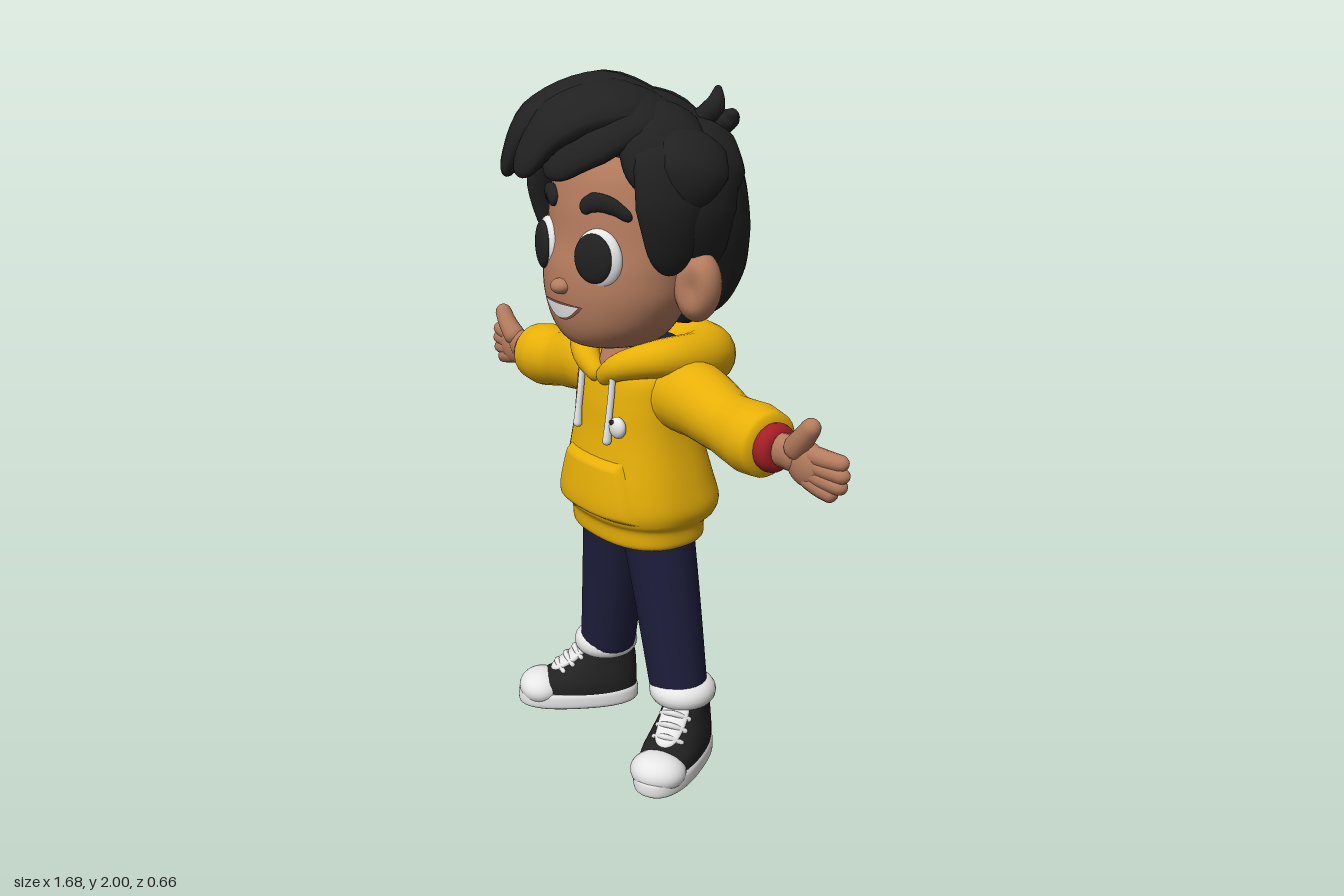
import * as THREE from 'three';

const V = (x, y, z) => new THREE.Vector3(x, y, z);
const mat = (name, color) => Object.assign(new THREE.MeshStandardMaterial({ color }), { name });

// Skin over a list of rings (closed, capped) or rows (open patch)
function skin(rings, closed = true) {
  const n = rings[0].length, pts = rings.flat(), index = [];
  for (let i = 0; i < rings.length - 1; i++) {
    for (let j = 0; j < (closed ? n : n - 1); j++) {
      const k = (j + 1) % n, a = i * n + j, b = i * n + k, c = b + n, d = a + n;
      index.push(a, b, d, b, c, d);
    }
  }
  if (closed) {
    const mid = (r) => r.reduce((s, p) => s.add(p), V(0, 0, 0)).divideScalar(n);
    const first = pts.length, end = (rings.length - 1) * n;
    pts.push(mid(rings[0]), mid(rings[rings.length - 1]));
    for (let j = 0; j < n; j++) {
      const k = (j + 1) % n;
      index.push(first, k, j, first + 1, end + j, end + k);
    }
  }
  const g = new THREE.BufferGeometry().setFromPoints(pts);
  g.setIndex(index);
  g.computeVertexNormals();
  return g;
}

// Rounded tube through points, with a radius at each point
function sweep(points, radii, { flat = 1, round = 1, out = () => V(0, 0, 1), n = 16, steps = 28 } = {}) {
  const curve = new THREE.CatmullRomCurve3(points.map((p) => V(...p)));
  const len = curve.getLength(), rings = [];
  for (let i = 0; i <= steps; i++) {
    const t = (1 - Math.cos((Math.PI * i) / steps)) / 2;
    const f = t * (radii.length - 1), k = Math.min(Math.floor(f), radii.length - 2);
    let r = THREE.MathUtils.lerp(radii[k], radii[k + 1], f - k);
    const cap = Math.min(r, round), d = Math.min(t, 1 - t) * len;
    if (d < cap) r *= Math.sqrt(Math.max(1 - (1 - d / cap) ** 2, 0.0004));
    const p = curve.getPoint(t), T = curve.getTangent(t);
    const side = out(p).cross(T).normalize(), up = T.clone().cross(side);
    rings.push(Array.from({ length: n }, (_, j) => {
      const a = (j / n) * Math.PI * 2;
      return p.clone().addScaledVector(side, r * Math.cos(a)).addScaledVector(up, r * flat * Math.sin(a));
    }));
  }
  return skin(rings);
}

// Rows of [y, half width, front z, back z], smoothed by a spline
function smoothRows(rows, k = 6) {
  const res = [], at = (i) => rows[Math.max(0, Math.min(rows.length - 1, i))];
  for (let i = 0; i < rows.length - 1; i++) {
    for (let s = 0; s < k; s++) {
      const t = s / k;
      res.push(rows[i].map((b, c) => {
        const a = at(i - 1)[c], d = at(i + 1)[c], e = at(i + 2)[c];
        return b + 0.5 * t * (d - a + t * (2 * a - 5 * b + 4 * d - e + t * (3 * (b - d) + e - a)));
      }));
    }
  }
  return [...res, rows[rows.length - 1]];
}
function loft(rows, e = 2, ripple = () => 1, n = 48) {
  const pw = (v) => Math.sign(v) * Math.abs(v) ** (2 / e);
  return skin(rows.map(([y, rx, zf, zb]) => Array.from({ length: n }, (_, j) => {
    const a = (j / n) * Math.PI * 2, k = ripple(a, y);
    return V(rx * k * pw(Math.cos(a)), y, (zf + zb) / 2 - ((zf - zb) / 2) * k * pw(Math.sin(a)));
  })));
}
function frontZ(rows, x, y, e = 2) {
  const i = Math.max(1, rows.findIndex((r) => r[0] >= y)), a = rows[i - 1], b = rows[i];
  const t = (y - a[0]) / (b[0] - a[0]), [, rx, zf, zb] = a.map((v, c) => v + (b[c] - v) * t);
  return (zf + zb) / 2 + ((zf - zb) / 2) * Math.max(0, 1 - Math.abs(x / rx) ** e) ** (1 / e);
}
// Patch laid over the front of a loft; shape maps u, v to x, y, lift
function drape(rows, e, shape, nu = 28, nv = 14) {
  return skin(Array.from({ length: nv + 1 }, (_, i) => Array.from({ length: nu + 1 }, (_, j) => {
    const [x, y, lift] = shape((j / nu) * 2 - 1, i / nv);
    return V(x, y, frontZ(rows, x, y, e) + lift);
  })), false);
}

const HEAD = smoothRows([[1.25, 0.05, 0.1, -0.05], [1.27, 0.125, 0.165, -0.1], [1.32, 0.19, 0.198, -0.13],
  [1.4, 0.235, 0.213, -0.17], [1.48, 0.25, 0.212, -0.2], [1.56, 0.257, 0.195, -0.22], [1.66, 0.25, 0.185, -0.22],
  [1.76, 0.225, 0.16, -0.2], [1.85, 0.15, 0.1, -0.14], [1.89, 0.03, 0, -0.04]]);
const HAIR = smoothRows([[1.3, 0.1, -0.12, -0.19], [1.36, 0.195, -0.1, -0.265], [1.45, 0.247, -0.07, -0.315],
  [1.55, 0.28, 0.01, -0.333], [1.63, 0.29, 0.06, -0.335], [1.72, 0.287, 0.1, -0.32], [1.8, 0.265, 0.14, -0.285],
  [1.88, 0.205, 0.16, -0.22], [1.94, 0.12, 0.12, -0.12], [1.96, 0.03, 0.04, -0.02]]);
const TORSO = smoothRows([[0.675, 0.2, 0.1, -0.18], [0.69, 0.219, 0.115, -0.2], [0.735, 0.222, 0.12, -0.205],
  [0.76, 0.238, 0.135, -0.238], [0.8, 0.246, 0.142, -0.25], [0.87, 0.234, 0.135, -0.23], [1, 0.208, 0.115, -0.195],
  [1.1, 0.203, 0.105, -0.19], [1.18, 0.205, 0.085, -0.185], [1.235, 0.165, 0.03, -0.16], [1.25, 0.08, -0.02, -0.1]]);
const SOLE = smoothRows([[0, 0.076, 0.287, -0.072], [0.012, 0.088, 0.3, -0.085], [0.042, 0.088, 0.3, -0.085],
  [0.055, 0.082, 0.29, -0.08]]);
const UPPER = smoothRows([[0.045, 0.084, 0.285, -0.08], [0.08, 0.083, 0.258, -0.081], [0.11, 0.076, 0.2, -0.08],
  [0.15, 0.066, 0.13, -0.078], [0.2, 0.062, 0.08, -0.07]]);

export function createModel() {
  const root = new THREE.Group();
  const skinTone = mat('skin', 0xb57c5e), black = mat('black', 0x212121), white = mat('white', 0xe6e6e6);
  const yellow = mat('yellow', 0xe8b008), navy = mat('navy', 0x1d1d3b), red = mat('red', 0xa51f25);
  const lip = mat('lip', 0x84503e);
  const add = (name, geo, m, parent = root) => {
    const mesh = new THREE.Mesh(geo, m);
    mesh.name = name;
    parent.add(mesh);
    return mesh;
  };
  const ball = (name, m, [x, y, z], [a, b, c], parent) =>
    add(name, new THREE.SphereGeometry(1, 28, 20).scale(a, b, c).translate(x, y, z), m, parent);

  // Head and face
  const head = new THREE.Group();
  head.name = 'headGroup';
  head.position.x = -0.01;
  root.add(head);
  add('head', loft(HEAD), skinTone, head);
  add('neck', sweep([[0, 1.14, 0.045], [0, 1.23, 0.01], [0, 1.34, -0.03]], [0.056, 0.06, 0.065]), skinTone);
  ball('nose', skinTone, [0.005, 1.438, 0.212], [0.032, 0.022, 0.03], head);
  const smile = (w, h, lift) => (u, v) => [w * u, 1.369 + 0.022 * u * u + (v - 0.5) * h * (1 - u * u), lift];
  add('mouth', drape(HEAD, 2, smile(0.09, 0.05, 0.003)), lip, head);
  add('teeth', drape(HEAD, 2, smile(0.081, 0.042, 0.007)), white, head);
  for (const s of [1, -1]) {
    const eye = new THREE.Group();
    eye.name = 'eye';
    eye.position.set(s * 0.122, 1.526, frontZ(HEAD, 0.122, 1.53) - 0.008);
    eye.rotation.y = s * 0.35;
    head.add(eye);
    ball('eyeWhite', white, [0, 0, 0], [0.074, 0.081, 0.03], eye);
    ball('pupil', black, [-s * 0.005, 0.003, 0.018], [0.061, 0.067, 0.0195], eye);
    const brow = [[0.198, 1.635], [0.15, 1.668], [0.1, 1.673], [0.063, 1.65]]
      .map(([x, y]) => [s * x, y, frontZ(HEAD, x, y) + 0.004]);
    add('eyebrow', sweep(brow, [0.016, 0.024, 0.026, 0.02], { flat: 0.6 }), black, head);

    // Ear with a shallow hollow
    const ear = new THREE.SphereGeometry(1, 32, 24), p = ear.attributes.position, hollow = V(s * 0.35, 0.05, 0.93);
    for (let i = 0; i < p.count; i++) {
      const v = V(0, 0, 0).fromBufferAttribute(p, i);
      const k = Math.max(0, 1 - v.distanceTo(hollow) / 0.65);
      p.setXYZ(i, v.x * (1 - 0.3 * k), v.y, v.z * (1 - 0.35 * k));
    }
    ear.computeVertexNormals();
    ear.scale(0.072, 0.098, 0.058).rotateZ(-s * 0.15).translate(s * 0.284, 1.455, -0.04);
    add('ear', ear, skinTone, head);
  }

  // Hair: rippled cap with swept locks
  add('hairCap', loft(HAIR, 2, (a, y) => 1 + 0.014 * Math.cos(a * 22) * Math.max(0, Math.sin(a)) * (y < 1.9 ? 1 : 0), 132), black, head);
  const crown = [0.13, 1.87, -0.13], outward = (p) => p.clone().sub(V(0, 1.62, -0.05));
  const locks = [
    [crown, [0.1, 1.925, 0.08], [0.03, 1.88, 0.23], [-0.045, 1.74, 0.315]],
    [crown, [0, 1.95, 0.07], [-0.11, 1.875, 0.22], [-0.19, 1.72, 0.265]],
    [crown, [-0.07, 1.95, 0.02], [-0.21, 1.86, 0.14], [-0.28, 1.73, 0.18]],
    [crown, [-0.08, 1.92, -0.07], [-0.24, 1.855, 0.02], [-0.345, 1.76, 0.06]],
    [crown, [0.14, 1.9, 0.05], [0.1, 1.84, 0.18], [0.015, 1.745, 0.265]],
    [crown, [0.2, 1.87, -0.01], [0.235, 1.8, 0.07], [0.25, 1.7, 0.09]],
    [crown, [-0.05, 1.89, -0.17], [-0.22, 1.82, -0.17], [-0.31, 1.7, -0.1]],
    [crown, [0.2, 1.83, -0.13], [0.28, 1.76, -0.1], [0.305, 1.65, -0.08]],
    [[0.18, 1.85, -0.08], [0.26, 1.82, -0.03], [0.315, 1.76, 0], [0.325, 1.67, 0.02]],
  ];
  for (const s of [1, -1]) {
    locks.push([[s * 0.16, 1.86, -0.02], [s * 0.262, 1.79, 0.04], [s * 0.288, 1.67, 0.055], [s * 0.268, 1.49, 0.04]]);
    locks.push([[s * 0.17, 1.86, -0.1], [s * 0.28, 1.77, -0.06], [s * 0.303, 1.65, -0.05], [s * 0.28, 1.5, -0.08]]);
  }
  for (const path of locks) {
    add('hairLock', sweep(path, [0.05, 0.1, 0.095, 0.05], { flat: 0.46, out: outward }), black, head);
  }
  add('cowlick', sweep([[0.13, 1.85, -0.14], [0.19, 1.91, -0.16], [0.17, 1.96, -0.19]], [0.035, 0.03, 0.008]), black, head);
  add('cowlick', sweep([[0.15, 1.83, -0.16], [0.22, 1.88, -0.19], [0.24, 1.9, -0.18]], [0.035, 0.028, 0.01]), black, head);

  // Hoodie
  add('hoodieBody', loft(TORSO, 2.4), yellow);
  add('pocket', drape(TORSO, 2.4, (u, v) => {
    const edge = Math.min(1 - Math.abs(u), v * 1.2, (1 - v) * 0.8);
    const w = 0.187 - 0.06 * v ** 1.3;
    return [u * w, 0.762 + 0.178 * v, -0.003 + 0.02 * Math.min(1, edge * 10)];
  }, 48, 30), yellow);
  const half = [[0.085, 1.208, 0.078], [0.17, 1.238, 0], [0.168, 1.222, -0.12], [0.11, 1.205, -0.2]];
  const hood = [[0, 1.155, 0.085], ...half, [0, 1.195, -0.225], ...half.map(([x, y, z]) => [-x, y, z]).reverse(), [0, 1.155, 0.085]];
  add('hood', sweep(hood, [0.026, 0.04, 0.055, 0.072, 0.09, 0.098, 0.09, 0.072, 0.055, 0.04, 0.026],
    { out: () => V(0, 1, 0), steps: 64, n: 20 }), yellow);
  ball('collarRight', white, [-0.06, 1.25, -0.055], [0.06, 0.03, 0.08]);
  ball('collarLeft', navy, [0.06, 1.25, -0.055], [0.06, 0.03, 0.08]);
  for (const [x, low] of [[-0.07, 1.0], [0.078, 0.985]]) {
    const cord = [1.2, 1.13, 1.06, low].map((y) => [x, y, frontZ(TORSO, x, y, 2.4) + (y > 1.15 ? 0.035 : 0.012)]);
    add('drawstring', sweep(cord, [0.009, 0.01, 0.01, 0.014], { n: 10 }), white);
  }
  ball('pin', white, [0.11, 1.042, 0.107], [0.03, 0.031, 0.02]);
  ball('pinCentre', black, [0.103, 1.058, 0.121], [0.01, 0.008, 0.007]);

  // Trousers
  ball('hips', navy, [0, 0.72, -0.04], [0.198, 0.09, 0.1]);
  for (const s of [1, -1]) {
    const m = (pts) => pts.map(([x, y, z]) => [s * x, y, z]);
    add('trouserLeg', sweep(m([[0.09, 0.76, -0.04], [0.14, 0.48, -0.052], [0.188, 0.2, -0.062]]),
      [0.112, 0.1, 0.088], { flat: 0.95, round: 0.03, n: 24 }), navy);

    // Arm and hand
    add('sleeve', sweep(m([[0.1, 1.12, -0.06], [0.25, 1.13, -0.06], [0.4, 1.1, -0.055], [0.5, 1.09, -0.055], [0.58, 1.085, -0.055]]),
      [0.1, 0.105, 0.086, 0.098, 0.088], { round: 0.035, n: 24, steps: 36 }), yellow);
    add('cuff', new THREE.TorusGeometry(0.039, 0.028, 14, 28).rotateY(Math.PI / 2).translate(s * 0.586, 1.087, -0.052), red);
    add('wrist', sweep(m([[0.55, 1.087, -0.052], [0.63, 1.09, -0.052], [0.7, 1.09, -0.052]]), [0.044, 0.046, 0.048], { flat: 0.8 }), skinTone);
    ball('palm', skinTone, [s * 0.705, 1.078, -0.055], [0.068, 0.062, 0.034]);
    for (const [y, tx, ty] of [[1.108, 0.836, 1.108], [1.088, 0.841, 1.075], [1.065, 0.834, 1.043], [1.045, 0.802, 1.012]]) {
      add('finger', sweep(m([[0.69, y, -0.055], [0.76, (y + ty) / 2, -0.055], [tx, ty, -0.07]]), [0.026, 0.025, 0.021], { n: 12, steps: 18 }), skinTone);
    }
    add('thumb', sweep(m([[0.66, 1.095, -0.045], [0.71, 1.15, -0.035], [0.752, 1.205, -0.035]]), [0.038, 0.03, 0.024], { n: 12 }), skinTone);

    // Sock and shoe
    add('sock', new THREE.TorusGeometry(0.063, 0.037, 16, 32).rotateX(Math.PI / 2).translate(s * 0.2, 0.216, -0.064), white);
    const shoe = new THREE.Group();
    shoe.name = 'shoe';
    shoe.position.set(s * 0.201, 0, -0.086);
    shoe.rotation.y = s * 0.52;
    root.add(shoe);
    add('sole', loft(SOLE, 2.4), white, shoe);
    add('upper', loft(UPPER, 2.3), black, shoe);
    ball('toeCap', white, [0, 0.055, 0.225], [0.083, 0.054, 0.073], shoe);
    add('tongue', sweep([[0, 0.21, 0.07], [0, 0.155, 0.125], [0, 0.112, 0.195]], [0.042, 0.043, 0.033],
      { flat: 0.35, out: () => V(0, 1, 0.4) }), white, shoe);
    for (let i = 0; i < 3; i++) {
      const y = 0.175 - i * 0.024, z = 0.11 + i * 0.028;
      add('lace', sweep([[-0.05, y - 0.012, z - 0.012], [0, y + 0.01, z + 0.01], [0.05, y - 0.012, z - 0.012]], [0.008, 0.009, 0.008], { n: 8 }), white, shoe);
    }
  }
  return root;
}
